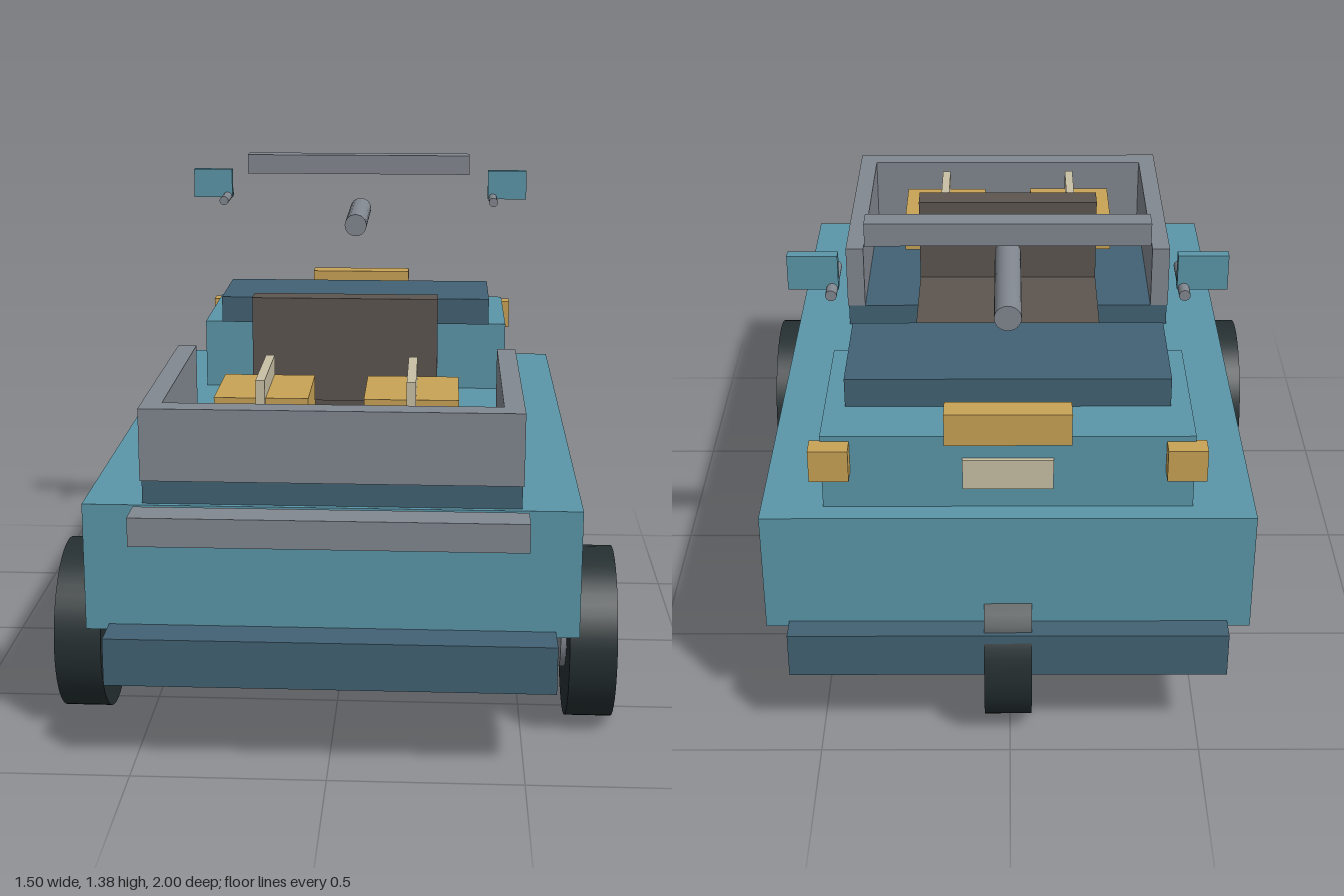
import * as THREE from 'three';

const mat = (name, color) => {
  const m = new THREE.MeshStandardMaterial({ color });
  m.name = name;
  return m;
};

export function createModel() {
  const teal = mat('teal paint', 0x5b96a9);
  const navy = mat('dark blue paint', 0x426274);
  const grey = mat('grey metal', 0x828890);
  const brown = mat('brown seat', 0x5d5550);
  const gold = mat('amber', 0xc9a356);
  const cream = mat('cream', 0xc9c0a5);
  const rubber = mat('black rubber', 0x252f31);

  const model = new THREE.Group();
  model.name = 'threeWheeler';
  const cx = 0.005; // centre line of the body

  const add = (name, geometry, material, x, y, z) => {
    const mesh = new THREE.Mesh(geometry, material);
    mesh.name = name;
    mesh.position.set(x, y, z);
    model.add(mesh);
    return mesh;
  };
  // Box centred at x, given its width and its y and z ranges
  const box = (name, material, x, width, [y0, y1], [z0, z1]) =>
    add(name, new THREE.BoxGeometry(width, y1 - y0, z1 - z0), material, x, (y0 + y1) / 2, (z0 + z1) / 2);
  // Cylinder lying along z
  const rod = (name, material, x, y, r, [z0, z1]) =>
    add(name, new THREE.CylinderGeometry(r, r, z1 - z0, 24).rotateX(Math.PI / 2), material, x, y, (z0 + z1) / 2);

  // Chassis and body
  box('chassis', navy, cx, 1.14, [0.235, 0.36], [-0.976, 0.968]);
  box('body', teal, cx, 1.26, [0.345, 0.68], [-0.912, 0.862]);
  box('rearBumper', grey, cx, 0.985, [0.616, 0.69], [0.908, 1.0]);

  // Nose with its raised cover
  box('nose', teal, cx, 0.942, [0.68, 0.888], [-0.856, -0.408]);
  box('noseCover', navy, cx, 0.836, [0.888, 0.968], [-0.708, -0.4]);
  box('centreLamp', gold, cx, 0.318, [0.886, 0.975], [-0.897, -0.834]);
  box('numberPlate', cream, cx, 0.23, [0.74, 0.825], [-0.868, -0.853]);

  // Seat
  box('seatCushion', brown, cx, 0.52, [0.745, 0.842], [-0.306, 0.129]);
  box('seatBack', brown, cx, 0.52, [0.79, 1.084], [0.132, 0.203]);

  // Cargo bed with rails on three sides
  box('bedFloor', navy, cx, 0.956, [0.68, 0.743], [0.139, 0.847]);
  box('rearRail', grey, cx, 0.962, [0.743, 0.93], [0.797, 0.862]);

  // Steering
  box('handlebar', grey, cx, 0.708, [1.328, 1.388], [-0.678, -0.618]);
  rod('steeringColumn', grey, cx, 1.192, 0.034, [-0.803, -0.43]);

  // Paired parts
  for (const s of [-1, 1]) {
    box('sideRail', grey, cx + s * 0.455, 0.052, [0.743, 0.93], [0.139, 0.8]);
    box('headlamp', gold, cx + s * 0.448, 0.1, [0.785, 0.873], [-0.904, -0.85]);
    box('mirror', teal, cx + s * 0.478, 0.124, [1.238, 1.329], [-0.737, -0.71]);
    rod('mirrorArm', grey, cx + s * 0.432, 1.241, 0.014, [-0.777, -0.608]);
    box('cargoBox', gold, cx + s * 0.195, 0.246, [0.815, 0.905], [0.378, 0.64]);
    box('cargoStrap', cream, cx + s * 0.195, 0.024, [0.88, 0.957], [0.367, 0.661]);
  }

  // Three wheels, each with a hub disc on the same side
  const tyreGeo = new THREE.CylinderGeometry(0.231, 0.231, 0.124, 48).rotateZ(Math.PI / 2);
  const hubGeo = new THREE.CylinderGeometry(0.1, 0.1, 0.05, 32).rotateZ(Math.PI / 2);
  for (const [name, x, z] of [['rearWheel', -0.675, 0.515], ['rearWheel', 0.683, 0.515], ['steeringWheel', 0.005, -0.769]]) {
    add(name, tyreGeo, rubber, x, 0.234, z);
    add(name + 'Hub', hubGeo, grey, x - 0.052, 0.234, z);
  }
  return model;
}
